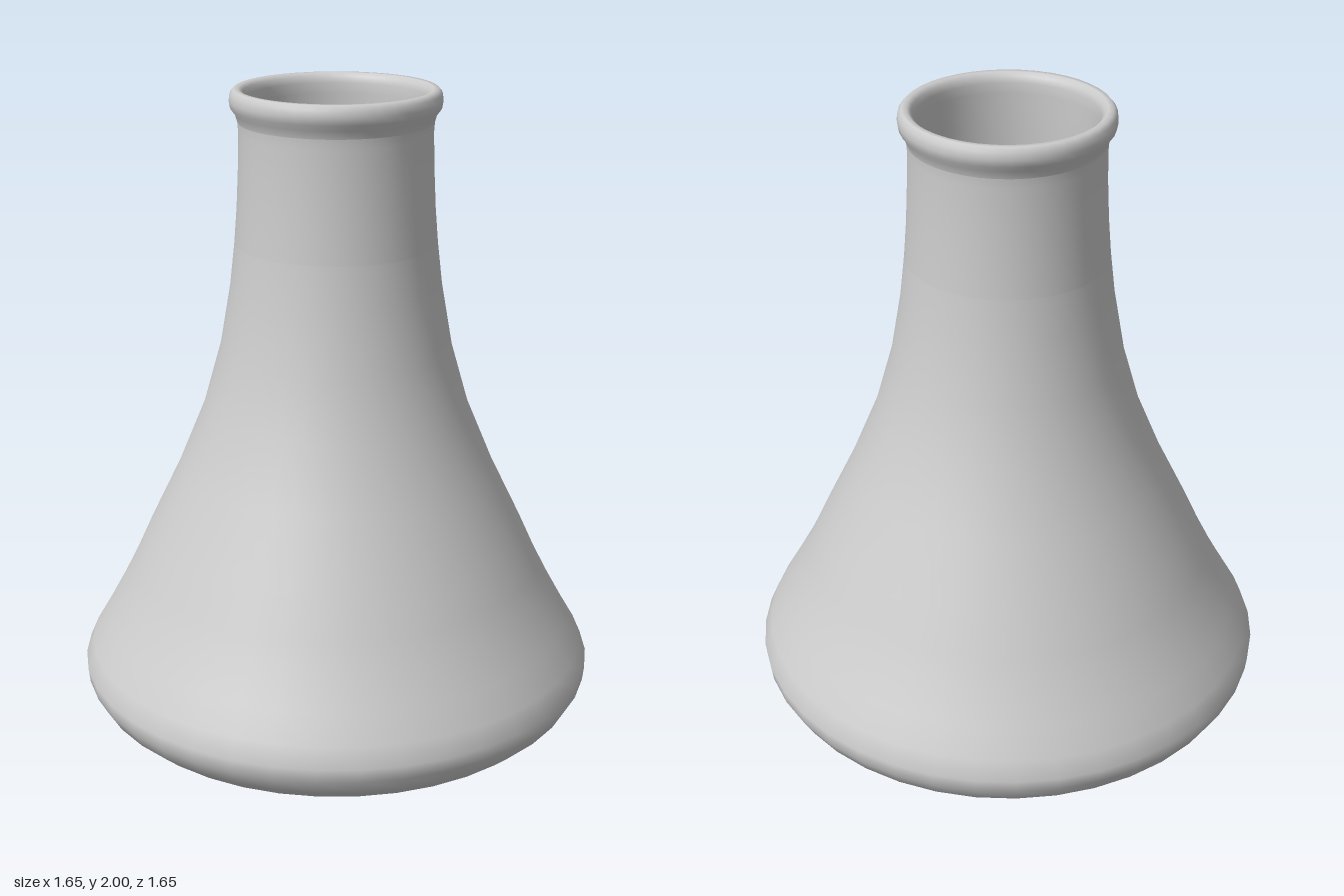
import * as THREE from 'three';

const SEGMENTS = 40;
const material = new THREE.MeshStandardMaterial({ color: 0xcccccc, side: THREE.DoubleSide });

// Revolve a radius/height profile around the vertical axis
function revolve(name, points) {
  const profile = points.map(([r, y]) => new THREE.Vector2(r, y));
  const mesh = new THREE.Mesh(new THREE.LatheGeometry(profile, SEGMENTS), material);
  mesh.name = name;
  return mesh;
}

export function createModel() {
  const group = new THREE.Group();
  group.name = 'conicalFlask';

  // Flat base disc, rounded foot and tapering cone
  const body = [
    [0, 0], [0.68, 0], [0.71, 0.005], [0.745, 0.025], [0.79, 0.065], [0.818, 0.115],
    [0.823, 0.16], [0.797, 0.22], [0.75, 0.3], [0.695, 0.4], [0.65, 0.49], [0.6, 0.6],
    [0.503, 0.8], [0.42, 1.0], [0.363, 1.2], [0.328, 1.4], [0.313, 1.53],
  ];
  // Straight neck rising from the cone
  const neck = [[0.313, 1.53], [0.304, 1.64], [0.298, 1.76], [0.295, 1.87], [0.297, 1.9]];
  // Rolled lip around the mouth
  const lip = [
    [0.297, 1.9], [0.304, 1.925], [0.318, 1.943], [0.322, 1.965], [0.319, 1.987],
    [0.308, 2.0], [0.292, 2.0], [0.28, 1.99], [0.274, 1.97], [0.274, 1.94],
  ];
  // Hollow inside, from the mouth down to the flat floor
  const inside = [
    [0.274, 1.94], [0.275, 1.87], [0.278, 1.76], [0.284, 1.64], [0.293, 1.53],
    [0.308, 1.4], [0.343, 1.2], [0.4, 1.0], [0.482, 0.8], [0.578, 0.6], [0.672, 0.4],
    [0.775, 0.22], [0.8, 0.16], [0.775, 0.075], [0.7, 0.025], [0.67, 0.02], [0, 0.02],
  ];

  group.add(
    revolve('body', body),
    revolve('neck', neck),
    revolve('lip', lip),
    revolve('innerWall', inside),
  );
  return group;
}
